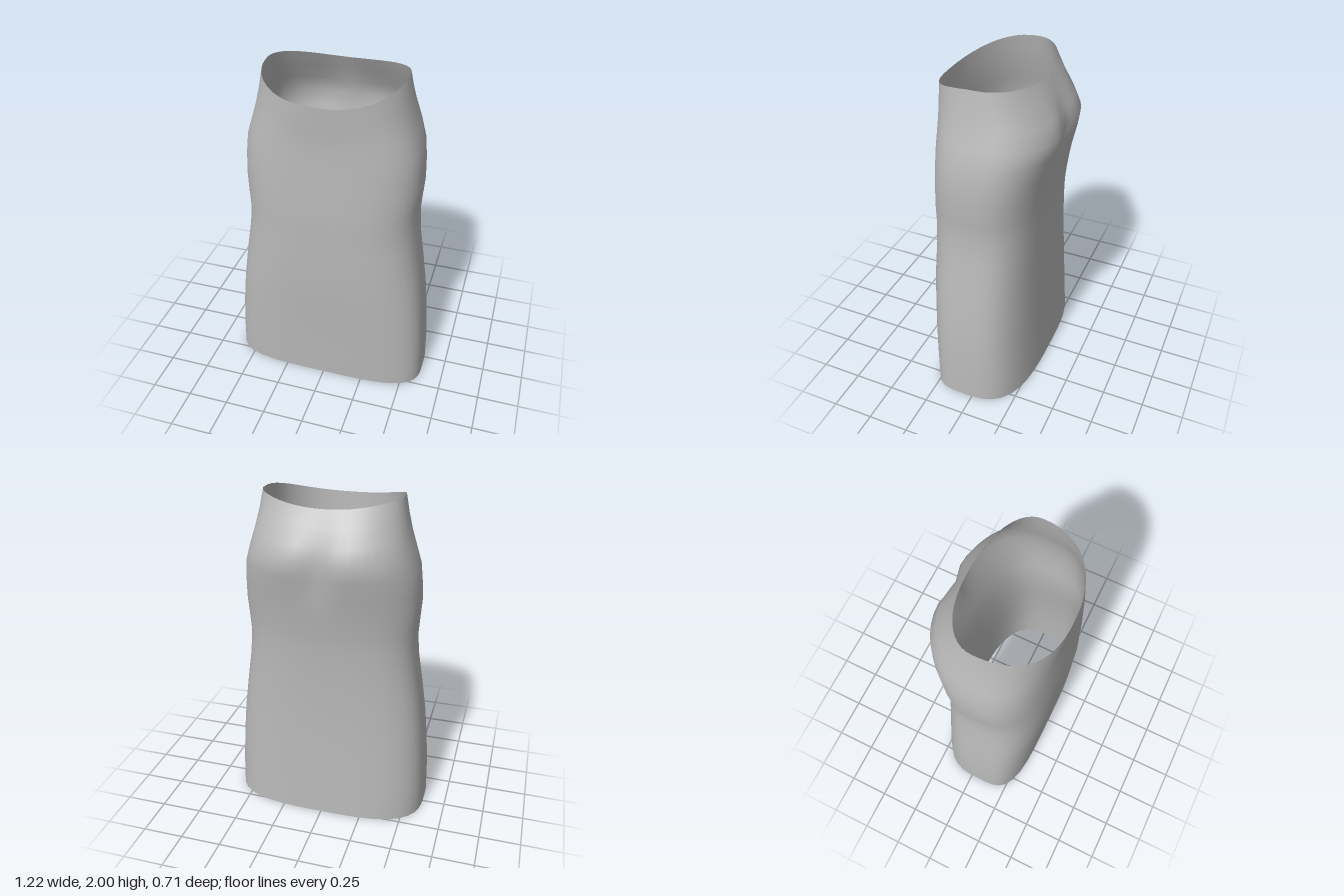
import * as THREE from 'three';

// Cross-sections from hem to waist: height, half width, front z, back z, front and back squareness
const ROWS = [
  [0.00, 0.610, 0.320, -0.285, 3.8, 3.2],
  [0.20, 0.605, 0.328, -0.275, 3.7, 3.2],
  [0.40, 0.592, 0.335, -0.266, 3.6, 3.1],
  [0.60, 0.573, 0.345, -0.260, 3.4, 3.0],
  [0.80, 0.545, 0.355, -0.257, 3.2, 2.9],
  [1.00, 0.514, 0.355, -0.261, 3.0, 2.8],
  [1.15, 0.503, 0.358, -0.268, 2.9, 2.7],
  [1.25, 0.509, 0.357, -0.279, 2.9, 2.6],
  [1.37, 0.518, 0.352, -0.297, 2.8, 2.5],
  [1.48, 0.513, 0.348, -0.318, 2.8, 2.5],
  [1.60, 0.501, 0.344, -0.345, 2.7, 2.5],
  [1.70, 0.470, 0.342, -0.362, 2.7, 2.5],
  [1.80, 0.441, 0.345, -0.328, 2.6, 2.4],
  [1.90, 0.418, 0.350, -0.275, 2.5, 2.2],
  [2.00, 0.400, 0.354, -0.222, 2.4, 2.1],
];
const SEGMENTS = 48;

// Open tube of rounded-box sections, with a curved waist rim and a hollow at the back
function skirtGeometry() {
  const positions = [], index = [];
  ROWS.forEach(([y, halfWidth, front, back, nFront, nBack], row) => {
    const centre = 0.06 - 0.03 * y;
    const rise = THREE.MathUtils.smoothstep(y, 1.5, 2);
    const crease = 0.04 * Math.exp(-(((y - 1.68) / 0.17) ** 2));
    for (let i = 0; i < SEGMENTS; i++) {
      const angle = (i / SEGMENTS) * Math.PI * 2;
      const c = Math.cos(angle), s = Math.sin(angle);
      const n = s > 0 ? nFront : nBack;
      const r = (Math.abs(c) ** n + Math.abs(s) ** n) ** (-1 / n);
      const x = halfWidth * c * r;
      const depth = s * r;
      let z = centre + depth * (s > 0 ? front - centre : centre - back);
      if (s < 0) z += crease * Math.exp(-((x / 0.085) ** 2));
      const drop = s > 0 ? 0.09 * depth ** 2 : 0.04 * Math.abs(depth) ** 3;
      positions.push(x, y - rise * drop, z);
      if (row < ROWS.length - 1) {
        const a = row * SEGMENTS + i;
        const b = row * SEGMENTS + ((i + 1) % SEGMENTS);
        index.push(a, a + SEGMENTS, b, b, a + SEGMENTS, b + SEGMENTS);
      }
    }
  });
  const geometry = new THREE.BufferGeometry();
  geometry.setAttribute('position', new THREE.Float32BufferAttribute(positions, 3));
  geometry.setIndex(index);
  geometry.computeVertexNormals();
  return geometry;
}

export function createModel() {
  const fabric = new THREE.MeshStandardMaterial({ color: 0xb8b8b8, side: THREE.DoubleSide });
  fabric.name = 'grey fabric';
  const skirt = new THREE.Mesh(skirtGeometry(), fabric);
  skirt.name = 'skirt';
  const group = new THREE.Group();
  group.name = 'longSkirt';
  group.add(skirt);
  return group;
}
